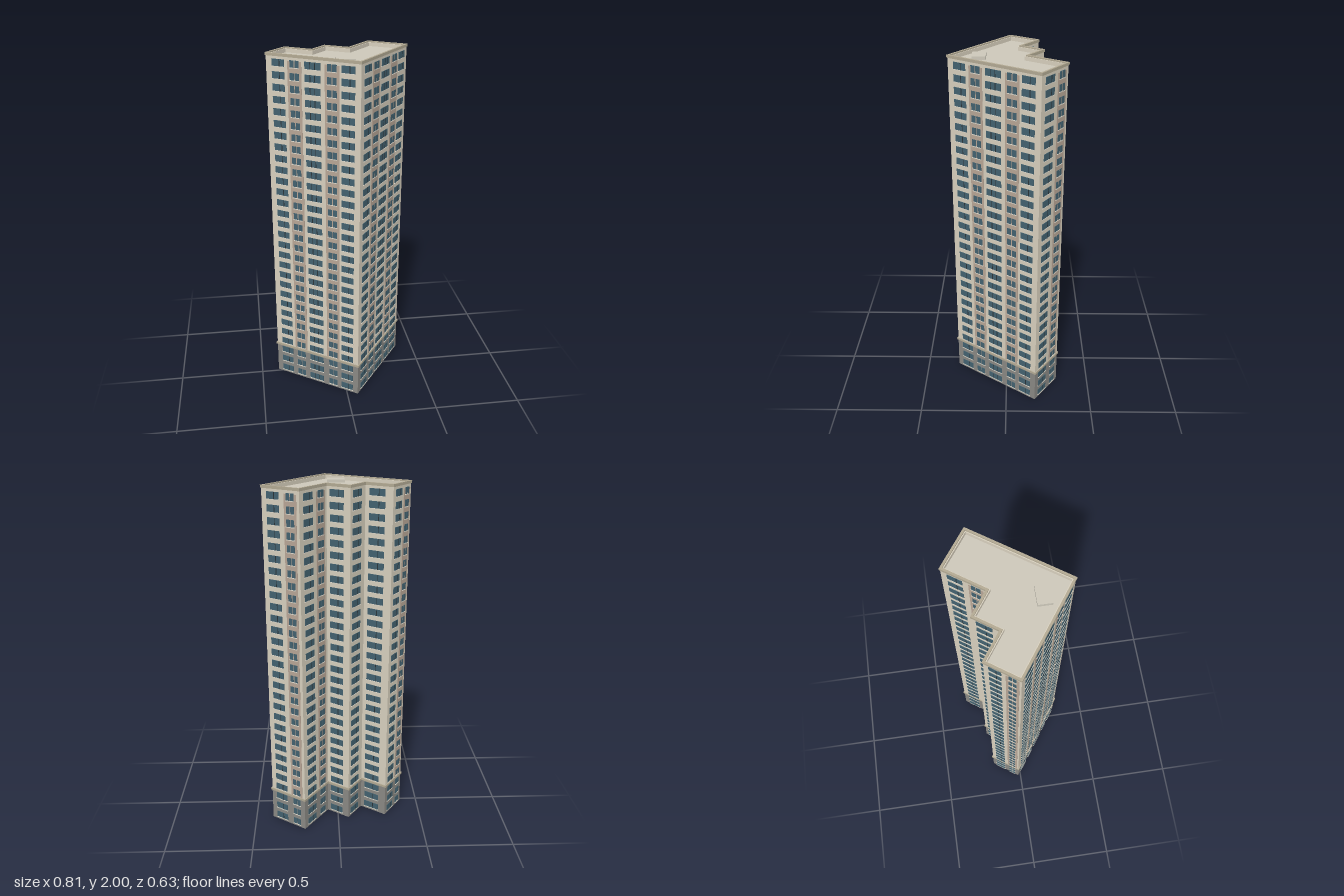
import * as THREE from 'three';
import { mergeGeometries } from 'three/addons/utils/BufferGeometryUtils.js';

const mat = (name, color) => Object.assign(new THREE.MeshStandardMaterial({ color }), { name });

export function createModel() {
  const M = {
    wall: mat('cream wall', 0xd8d0be),
    strip: mat('tan strip', 0xb8a696),
    base: mat('grey base', 0x8a8984),
    trim: mat('beige trim', 0xb3aa94),
    roof: mat('roof', 0xcdc8ba),
    glass: mat('blue glass', 0x436270),
    frame: mat('dark frame', 0x2b363b),
    sill: mat('pale sill', 0xddd7c9),
  };
  const model = new THREE.Group();
  model.name = 'apartmentTower';
  const add = (name, geo, material) => {
    const mesh = new THREE.Mesh(geo, material);
    mesh.name = name;
    model.add(mesh);
    return mesh;
  };

  // Stepped footprint: u runs along the front wall, v towards the back
  const ang = THREE.MathUtils.degToRad(35.1);
  const c = Math.cos(ang), s = Math.sin(ang);
  const foot = [[-0.56, 0], [0, 0], [0, 0.583], [-0.24, 0.583], [-0.24, 0.339],
    [-0.39, 0.339], [-0.39, 0.192], [-0.56, 0.192]]
    .map(([u, v]) => new THREE.Vector2(0.062 + u * c + v * s, 0.306 + u * s - v * c));
  const n = foot.length;
  const dirs = foot.map((p, i) => foot[(i + 1) % n].clone().sub(p).normalize());
  const normals = dirs.map(d => new THREE.Vector2(-d.y, d.x));

  // Footprint moved outward by d; corners are all square
  const outline = d => foot.map((p, i) => {
    const q = p.clone().addScaledVector(normals[i], d).addScaledVector(normals[(i + n - 1) % n], d);
    return new THREE.Vector2(q.x, -q.y);
  });
  const prism = (outer, y0, y1, inner) => {
    const shape = new THREE.Shape(outline(outer));
    if (inner !== undefined) shape.holes.push(new THREE.Path(outline(inner)));
    const g = new THREE.ExtrudeGeometry(shape, { depth: y1 - y0, bevelEnabled: false });
    return g.rotateX(-Math.PI / 2).translate(0, y0, 0);
  };

  // Main masses, cornice and roof edge
  add('base', prism(0, 0, 0.2), M.base);
  add('towerWalls', prism(0, 0.2, 1.966), M.wall);
  add('roofDeck', prism(-0.004, 1.966, 1.972), M.roof);
  add('parapet', prism(0, 1.966, 1.993, -0.013), M.wall);
  add('baseCornice', prism(0.006, 0.193, 0.206, -0.002), M.trim);
  add('coping', prism(0.004, 1.985, 2, -0.008), M.trim);

  // Roof hatch
  const hatch = add('roofHatch', new THREE.BoxGeometry(0.098, 0.02, 0.074), M.roof);
  hatch.position.set(0.004, 1.98, 0.146);

  // Window columns per wall: [kind, start, end] as fractions of the wall length
  const long = [['wide', 0.065, 0.2], ['pair', 0.26, 0.36], ['triple', 0.42, 0.585],
    ['pair', 0.655, 0.755], ['wide', 0.805, 0.94]];
  const short = [['wide', 0.14, 0.47], ['pair', 0.66, 0.87]];
  const single = [['wide', 0.15, 0.72]];
  const layouts = [long, long, short, short, single, single, single, short];

  const parts = { glass: [], frame: [], sill: [], strip: [] };
  const floors = 30, floorHeight = 0.0661, winH = 0.037;

  layouts.forEach((columns, i) => {
    const length = foot[i].distanceTo(foot[(i + 1) % n]);
    // Thin plate on this wall: centre x and y, width, height, projection
    const plate = (kind, x, y, w, h, depth) => parts[kind].push(
      new THREE.BoxGeometry(w, h, depth).translate(x, y, depth / 2)
        .rotateY(Math.atan2(-dirs[i].y, dirs[i].x)).translate(foot[i].x, 0, foot[i].y));

    for (const [kind, a, b] of columns) {
      const x = (a + b) / 2 * length, w = (b - a) * length;
      if (kind === 'pair') plate('strip', x, 1.086, w + 0.028, 1.76, 0.0015);
      for (let f = 0; f < floors; f++) {
        const y = 0.035 + f * floorHeight;
        if (kind === 'pair') {
          for (const side of [-1, 1]) plate('glass', x + side * w * 0.27, y, w * 0.44, winH, 0.003);
        } else {
          plate('glass', x, y, w, winH, 0.003);
          const bars = kind === 'triple' ? [-0.15, 0.15] : [0.12];
          for (const t of bars) plate('frame', x + t * w, y, 0.004, winH, 0.004);
        }
        plate('sill', x, y - winH / 2 - 0.002, w + 0.004, 0.004, 0.005);
      }
    }
  });

  add('windowPanes', mergeGeometries(parts.glass), M.glass);
  add('windowMullions', mergeGeometries(parts.frame), M.frame);
  add('windowSills', mergeGeometries(parts.sill), M.sill);
  add('wallStrips', mergeGeometries(parts.strip), M.strip);
  return model;
}
